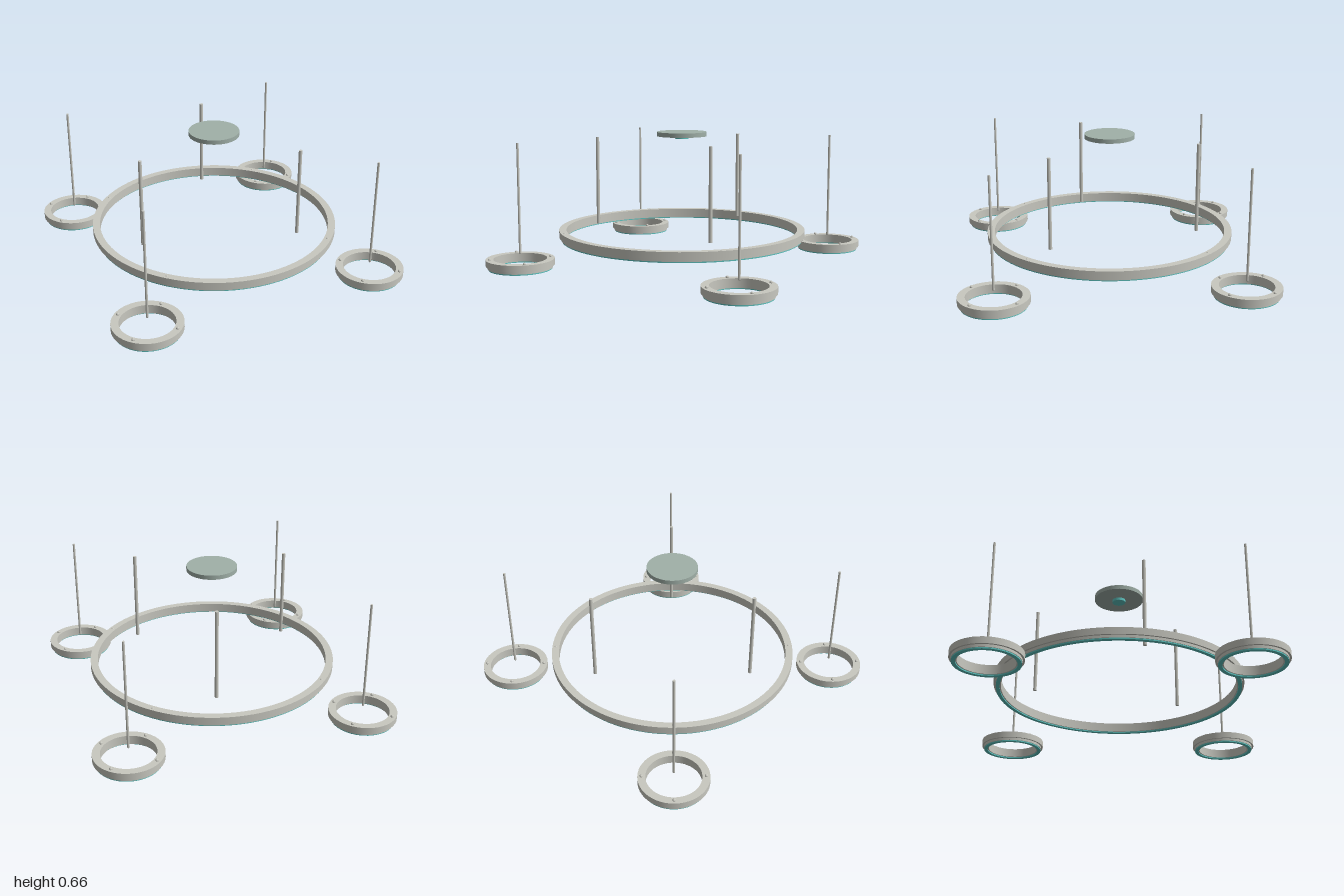
import * as THREE from 'three';

const metal = new THREE.MeshStandardMaterial({ color: 0xc8c8c0 });
metal.name = 'warm grey metal';
const plate = new THREE.MeshStandardMaterial({ color: 0xa0b0a8 });
plate.name = 'canopy grey green';
const glow = new THREE.MeshStandardMaterial({ color: 0x5fc4c0 });
glow.name = 'teal diffuser';

function add(parent, name, geometry, material, x = 0, y = 0, z = 0) {
  const mesh = new THREE.Mesh(geometry, material);
  mesh.name = name;
  mesh.position.set(x, y, z);
  parent.add(mesh);
  return mesh;
}

// Closed ring with sharp edges: each side of the profile is its own lathe strip,
// listed anticlockwise (bottom inner, bottom outer, up the outside, top inner).
function addRing(parent, name, points, material, segments) {
  points.forEach((p, i) => {
    const q = points[(i + 1) % points.length];
    const strip = [new THREE.Vector2(...p), new THREE.Vector2(...q)];
    add(parent, name, new THREE.LatheGeometry(strip, segments), material);
  });
}

// Ring lamp: stepped metal body, teal light strip below, four fixing studs on top
function ringLamp(name, inner, outer, height, studY, segments) {
  const lamp = new THREE.Group();
  lamp.name = name;
  const lip = outer - 0.009, low = 0.006;
  addRing(lamp, 'ringBody', [
    [inner, low], [lip, low], [lip, 0.019], [outer, 0.019], [outer, height], [inner, height],
  ], metal, segments);
  addRing(lamp, 'lightStrip', [
    [inner + 0.006, 0], [lip - 0.003, 0], [lip - 0.003, 0.01], [inner + 0.006, 0.01],
  ], glow, segments);
  const mid = (inner + outer) / 2;
  for (let i = 0; i < 4; i++) {
    const a = i * Math.PI / 2;
    add(lamp, 'stud', new THREE.SphereGeometry(0.008, 12, 8), metal,
      mid * Math.cos(a), studY, mid * Math.sin(a));
  }
  return lamp;
}

function addRod(parent, name, radius, bottom, top, x, z) {
  add(parent, name, new THREE.CylinderGeometry(radius, radius, top - bottom, 12), metal,
    x, (top + bottom) / 2, z);
}

export function createModel() {
  const model = new THREE.Group();
  model.name = 'ringChandelier';

  // Ceiling canopy with a small cap under it
  add(model, 'canopy', new THREE.CylinderGeometry(0.127, 0.127, 0.022, 48), plate, 0, 0.645, 0);
  add(model, 'canopyCap', new THREE.CylinderGeometry(0.034, 0.034, 0.014, 24), glow, 0, 0.627, 0);

  // Large ring and its three suspension rods
  const main = ringLamp('mainRing', 0.592, 0.629, 0.053, 0.049, 96);
  main.position.y = 0.109;
  model.add(main);
  for (let i = 0; i < 3; i++) {
    const a = i * Math.PI * 2 / 3;
    addRod(model, 'mainRod', 0.009, 0.165, 0.62, 0.45 * Math.cos(a), 0.45 * Math.sin(a));
  }

  // Four small rings around it, each with a central rod
  for (let i = 0; i < 4; i++) {
    const a = i * Math.PI / 2;
    const x = 0.832 * Math.cos(a), z = 0.832 * Math.sin(a);
    const small = ringLamp('smallRing', 0.131, 0.168, 0.051, 0.053, 48);
    small.position.set(x, 0, z);
    model.add(small);
    addRod(model, 'smallRod', 0.006, 0.078, 0.62, x, z);
    add(model, 'rodTip', new THREE.SphereGeometry(0.006, 12, 8), metal, x, 0.078, z);
  }
  return model;
}
